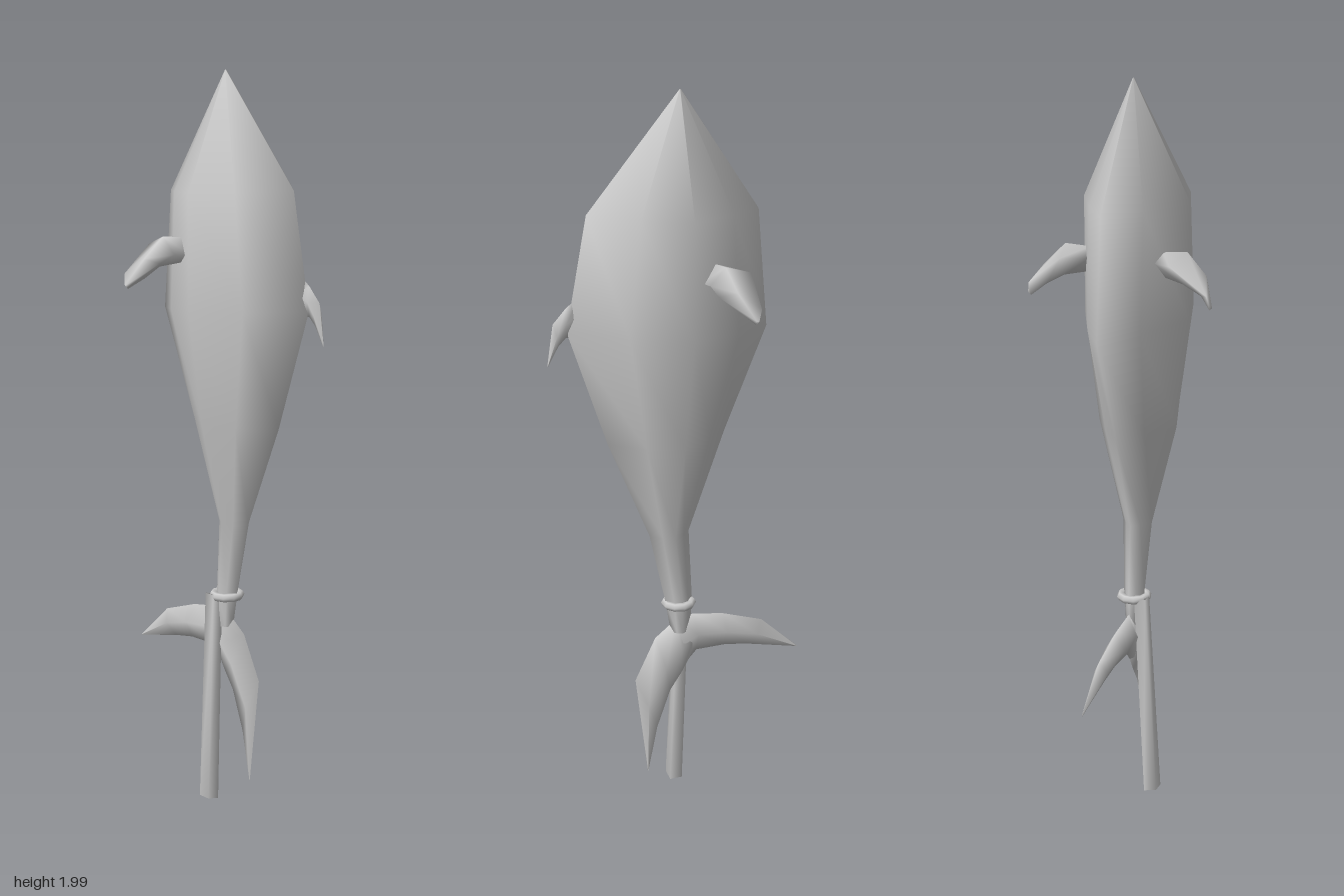
import * as THREE from 'three';

const material = new THREE.MeshStandardMaterial({ color: 0xcccccc });

// Skins a list of rings (equal numbers of [x, y, z] points) and caps both ends.
function loft(name, rings) {
  const n = rings[0].length;
  const points = rings.flat();
  const index = [];
  for (let r = 0; r < rings.length - 1; r++) {
    for (let i = 0; i < n; i++) {
      const a = r * n + i, b = r * n + (i + 1) % n;
      index.push(a, b, b + n, a, b + n, a + n);
    }
  }
  const last = (rings.length - 1) * n;
  for (let i = 1; i < n - 1; i++) {
    index.push(0, i + 1, i, last, last + i, last + i + 1);
  }
  // Turn the faces outward if the rings run the other way round
  let volume = 0;
  const [a, b, c] = [0, 1, 2].map(() => new THREE.Vector3());
  for (let i = 0; i < index.length; i += 3) {
    a.fromArray(points[index[i]]);
    b.fromArray(points[index[i + 1]]);
    c.fromArray(points[index[i + 2]]);
    volume += a.dot(b.cross(c));
  }
  if (volume < 0) index.reverse();
  const geometry = new THREE.BufferGeometry();
  geometry.setAttribute('position', new THREE.Float32BufferAttribute(points.flat(), 3));
  geometry.setIndex(index);
  geometry.computeVertexNormals();
  const mesh = new THREE.Mesh(geometry, material);
  mesh.name = name;
  return mesh;
}

// Eight-sided body section, pointed at the front and back edges
function bodyRing([yFront, zFront, yBack, zBack, halfX, zSide]) {
  const ring = [
    [0, 0], [0.7, 0.46], [1, 1], [0.5, 1.58],
    [0, 2], [-0.5, 1.58], [-1, 1], [-0.7, 0.46],
  ];
  return ring.map(([u, t]) => [
    u * halfX,
    THREE.MathUtils.lerp(yFront, yBack, t / 2),
    t < 1 ? THREE.MathUtils.lerp(zFront, zSide, t) : THREE.MathUtils.lerp(zSide, zBack, t - 1),
  ]);
}

// Diamond section lying between two points of the x = 0 plane
function diamond([z0, y0, z1, y1, halfX]) {
  const y = (y0 + y1) / 2, z = (z0 + z1) / 2;
  return [[0, y0, z0], [halfX, y, z], [0, y1, z1], [-halfX, y, z]];
}

export function createModel() {
  const model = new THREE.Group();
  model.name = 'hangingFish';

  // Body, nose up: yFront, zFront, yBack, zBack, halfX, zSide
  model.add(loft('body', [
    [2, 0.002, 2, -0.002, 0.002, 0],
    [1.7, 0.257, 1.68, -0.222, 0.148, 0.02],
    [1.4, 0.315, 1.36, -0.25, 0.148, 0.02],
    [1.08, 0.207, 1.08, -0.13, 0.112, 0.03],
    [0.8, 0.09, 0.8, -0.025, 0.042, 0.03],
    [0.6, 0.045, 0.6, -0.035, 0.03, 0.005],
    [0.5, 0.028, 0.5, -0.03, 0.022, 0],
  ].map(bodyRing)));

  // Tail lobes: outer z and y, inner z and y, halfX
  model.add(loft('tailLobeBack', [
    [0.01, 0.54, 0, 0.38, 0.022],
    [-0.04, 0.545, -0.05, 0.432, 0.026],
    [-0.13, 0.53, -0.14, 0.432, 0.028],
    [-0.25, 0.49, -0.21, 0.42, 0.02],
    [-0.365, 0.386, -0.363, 0.384, 0.001],
  ].map(diamond)));
  model.add(loft('tailLobeFront', [
    [-0.03, 0.54, -0.04, 0.43, 0.022],
    [0.015, 0.535, -0.005, 0.37, 0.026],
    [0.075, 0.49, 0.03, 0.32, 0.028],
    [0.135, 0.37, 0.07, 0.21, 0.02],
    [0.1, 0.075, 0.098, 0.075, 0.001],
  ].map(diamond)));

  // Small fin on the front edge
  model.add(loft('smallFin', [
    [0.28, 1.49, 0.29, 1.39, 0.008],
    [0.315, 1.465, 0.318, 1.385, 0.009],
    [0.352, 1.425, 0.338, 1.365, 0.015],
    [0.369, 1.317, 0.367, 1.315, 0.001],
  ].map(diamond)));

  // Side fins, mirrored across x = 0
  const fin = [
    [[0.11, 1.525, -0.012], [0.1, 1.57, -0.05], [0.09, 1.545, -0.085], [0.1, 1.505, -0.05]],
    [[0.165, 1.53, -0.015], [0.17, 1.575, -0.055], [0.15, 1.55, -0.135], [0.165, 1.495, -0.075]],
    [[0.21, 1.51, -0.02], [0.225, 1.52, -0.065], [0.246, 1.478, -0.122], [0.215, 1.468, -0.075]],
    [[0.253, 1.445, -0.1], [0.255, 1.45, -0.105], [0.253, 1.45, -0.112], [0.248, 1.44, -0.105]],
  ];
  for (const [name, side] of [['leftFin', 1], ['rightFin', -1]]) {
    model.add(loft(name, fin.map(ring => ring.map(([x, y, z]) => [side * x, y, z]))));
  }

  // Rope loop around the tail stem
  const loop = new THREE.Mesh(new THREE.TorusGeometry(0.037, 0.012, 6, 10), material);
  loop.name = 'ropeLoop';
  loop.rotation.x = Math.PI / 2;
  loop.position.set(0, 0.588, 0.005);
  model.add(loop);

  // Rope hanging down from the loop
  const square = (x, y, z, r) =>
    [[x - r, y + 0.004, z - r], [x + r, y - 0.004, z - r], [x + r, y - 0.004, z + r], [x - r, y + 0.004, z + r]];
  model.add(loft('ropeEnd', [square(-0.03, 0.59, -0.015, 0.016), square(-0.059, 0.01, -0.004, 0.018)]));

  return model;
}
